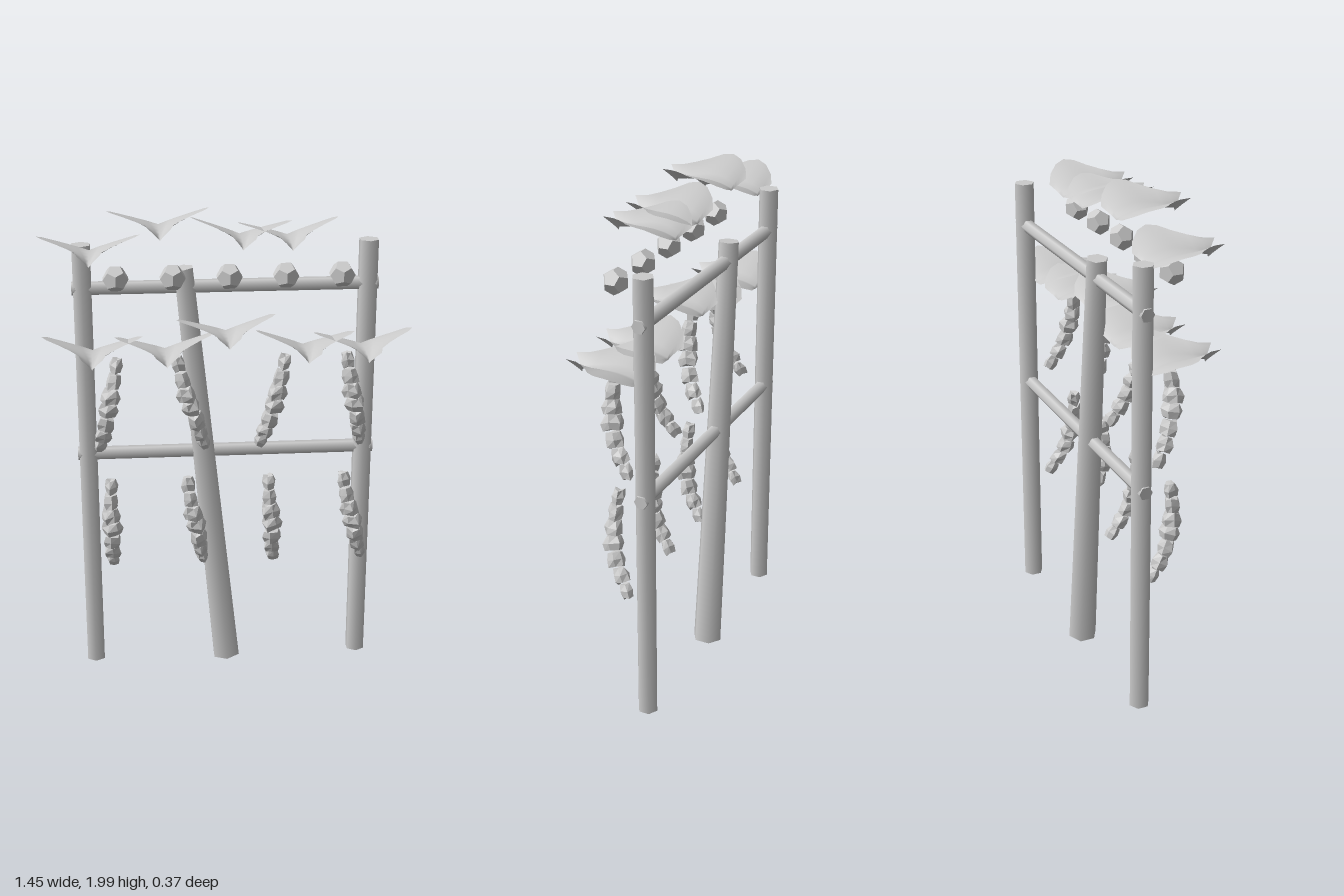
import * as THREE from 'three';

const UP = new THREE.Vector3(0, 1, 0);
const Z_FRAME = -0.13;

function grey(flat = false, side = THREE.FrontSide) {
  return new THREE.MeshStandardMaterial({ color: 0xcccccc, flatShading: flat, side });
}

// repeatable wobble in -1..1
const wobble = (n) => Math.sin(n * 12.9898 + 4.1) * Math.cos(n * 3.77);

// six-sided pole between two points
function pole(name, a, b, rA, rB, material) {
  const from = new THREE.Vector3(...a), to = new THREE.Vector3(...b);
  const dir = to.clone().sub(from);
  const mesh = new THREE.Mesh(new THREE.CylinderGeometry(rB, rA, dir.length(), 6), material);
  mesh.position.copy(from).add(to).multiplyScalar(0.5);
  mesh.quaternion.setFromUnitVectors(UP, dir.normalize());
  mesh.name = name;
  return mesh;
}

// thin winged leaf: broad drooping back, narrow split tip at the front
function leafGeometry() {
  const rows = [ // z, half width, wing rise
    [-0.122, 0.09, 0.028], [-0.098, 0.14, 0.042], [-0.06, 0.178, 0.055],
    [-0.02, 0.195, 0.06], [0.015, 0.175, 0.058], [0.05, 0.128, 0.05],
    [0.09, 0.085, 0.046], [0.13, 0.052, 0.046], [0.178, 0.04, 0.054],
  ];
  const cols = 10, pos = [], index = [];
  rows.forEach(([z, w, rise], r) => {
    for (let c = 0; c <= cols; c++) {
      const u = (c / cols) * 2 - 1, a = Math.abs(u);
      const notch = r === rows.length - 1 ? -0.045 * (1 - a) : 0;
      const back = r === 0 ? 0.022 * (1 - a) : 0;
      const arch = 0.022 - (z < 0 ? 0.03 * (z / 0.12) ** 2 : 0.022 * (z / 0.17) ** 2);
      pos.push(u * w, rise * a ** 0.9 + arch, z + notch + back);
      if (r < rows.length - 1 && c < cols) {
        const i = r * (cols + 1) + c, j = i + cols + 1;
        index.push(i, j, i + 1, i + 1, j, j + 1);
      }
    }
  });
  const g = new THREE.BufferGeometry();
  g.setAttribute('position', new THREE.Float32BufferAttribute(pos, 3));
  g.setIndex(index);
  g.computeVertexNormals();
  return g;
}

// knobbly flared bead used in the hanging clusters
function beadGeometry(seed) {
  const g = new THREE.CylinderGeometry(0.72, 0.85, 1, 6, 2);
  const p = g.attributes.position;
  for (let i = 0; i < p.count; i++) {
    const x = p.getX(i), y = p.getY(i), z = p.getZ(i);
    const angle = Math.round(Math.atan2(z, x) * 10);
    const k = (Math.abs(y) < 0.1 ? 1.25 : 1) + 0.24 * wobble(angle + seed + Math.round(y * 4));
    p.setXYZ(i, x * k, y + 0.2 * wobble(angle * 2 + seed) * Math.hypot(x, z), z * k);
  }
  g.computeVertexNormals();
  return g;
}

// curved string of seven beads, bending back toward the frame at its foot
function cluster(name, x0, x1, yTop, seed, material) {
  const group = new THREE.Group();
  group.name = name;
  const curve = new THREE.CatmullRomCurve3([
    new THREE.Vector3(x0, yTop, 0.035),
    new THREE.Vector3(x0 + (x1 - x0) * 0.3, yTop - 0.12, 0.044),
    new THREE.Vector3(x0 + (x1 - x0) * 0.65, yTop - 0.24, 0.02),
    new THREE.Vector3(x1, yTop - 0.355, -0.036),
  ]);
  const sizes = [0.028, 0.033, 0.039, 0.041, 0.038, 0.034, 0.026];
  sizes.forEach((r, i) => {
    const t = i / (sizes.length - 1);
    const bead = new THREE.Mesh(beadGeometry(seed * 9 + i), material);
    bead.name = 'bead';
    bead.position.copy(curve.getPoint(t));
    bead.quaternion.setFromUnitVectors(UP, curve.getTangent(t).negate());
    bead.rotateY(i * 1.3 + seed);
    bead.scale.set(r, 0.056, r);
    group.add(bead);
  });
  return group;
}

export function createModel() {
  const model = new THREE.Group();
  model.name = 'trellis';
  const wood = grey(), faceted = grey(true), thin = grey(false, THREE.DoubleSide);

  // upright posts
  for (const s of [-1, 1]) {
    model.add(pole(s > 0 ? 'leftPost' : 'rightPost',
      [s * 0.562, 0.01, Z_FRAME], [s * 0.562, 1.83, Z_FRAME], 0.041, 0.041, wood));
  }
  // leaning middle post
  model.add(pole('leaningPost', [0, 0.005, Z_FRAME], [-0.167, 1.73, Z_FRAME], 0.061, 0.042, wood));

  // crossbars with end collars
  for (const y of [0.96, 1.655]) {
    model.add(pole('crossbar', [-0.6, y, Z_FRAME], [0.6, y, Z_FRAME], 0.027, 0.027, wood));
    for (const s of [-1, 1]) {
      model.add(pole('barEnd', [s * 0.592, y, Z_FRAME], [s * 0.604, y, Z_FRAME], 0.029, 0.027, wood));
    }
  }

  // row of round fruit
  for (let i = -2; i <= 2; i++) {
    const fruit = new THREE.Mesh(new THREE.DodecahedronGeometry(0.052), faceted);
    fruit.name = 'fruit';
    fruit.position.set(i * 0.216, 1.74, 0.046);
    model.add(fruit);
  }

  // leaves: x, y, roll
  const leaf = leafGeometry();
  const leaves = [
    [-0.53, 1.812, 0], [-0.264, 1.908, 0.02], [0.045, 1.866, -0.05], [0.23, 1.86, 0.04],
    [-0.53, 1.412, -0.02], [-0.245, 1.412, 0.03], [-0.005, 1.48, 0.04], [0.3, 1.415, -0.03], [0.533, 1.412, 0.03],
  ];
  for (const [x, y, roll] of leaves) {
    const mesh = new THREE.Mesh(leaf, thin);
    mesh.name = 'leaf';
    mesh.position.set(x, y, 0.005);
    mesh.rotation.z = roll;
    model.add(mesh);
  }

  // hanging clusters: top x, foot x, top y
  const clusters = [
    [-0.44, -0.51, 1.39], [-0.2, -0.095, 1.39], [0.215, 0.135, 1.39], [0.465, 0.535, 1.39],
    [-0.475, -0.475, 0.88], [-0.165, -0.105, 0.88], [0.16, 0.185, 0.88], [0.465, 0.55, 0.88],
  ];
  clusters.forEach(([x0, x1, y], i) => model.add(cluster('hangingCluster', x0, x1, y, i, faceted)));

  return model;
}
